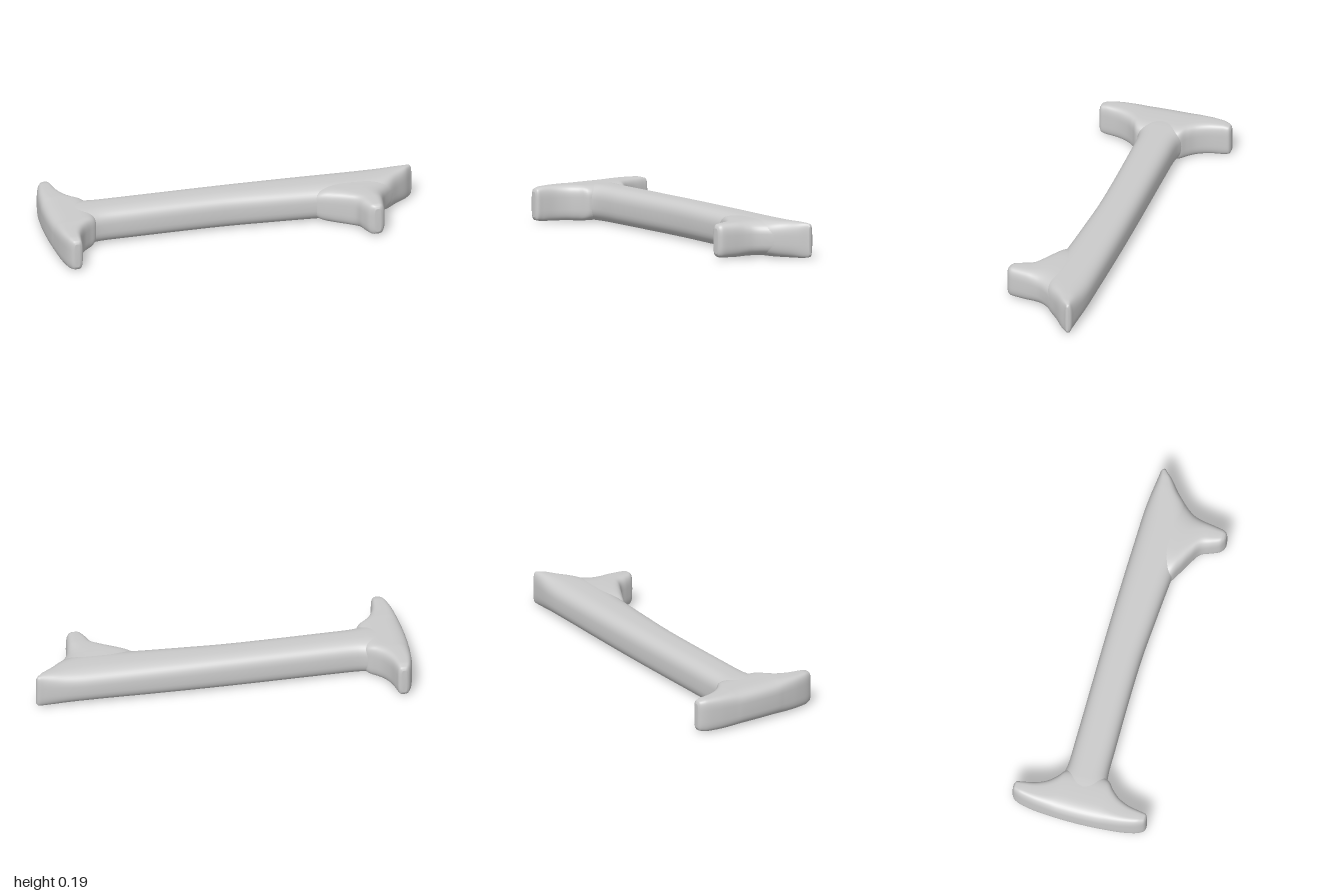
import * as THREE from 'three';

const SIDES = 48;   // points around a section
const STEPS = 5;    // rings between two given sections
const MID = 0.098;  // height of the centre plane
const H = 0.0965;   // half thickness

const power = (v, n) => Math.sign(v) * Math.pow(Math.abs(v), 2 / n);

// Lofts superellipse sections along z. Rows: [z, xMin, xMax, halfHeight]
function loft(rows, n) {
  const sizes = new THREE.CatmullRomCurve3(rows.map(([s, lo, hi]) => new THREE.Vector3(s, lo, hi)));
  const rings = (rows.length - 1) * STEPS;
  const pos = [], index = [];
  for (let i = 0; i <= rings; i++) {
    const p = sizes.getPoint(i / rings);
    const k = Math.min(Math.floor(i / STEPS), rows.length - 2);
    const h = THREE.MathUtils.lerp(rows[k][3], rows[k + 1][3], i / STEPS - k);
    for (let j = 0; j < SIDES; j++) {
      const a = (j / SIDES) * Math.PI * 2;
      pos.push((p.y + p.z) / 2 + ((p.z - p.y) / 2) * power(Math.cos(a), n),
        MID + h * power(Math.sin(a), n), p.x);
    }
  }
  for (let i = 0; i < rings; i++) {
    for (let j = 0; j < SIDES; j++) {
      const a = i * SIDES + j, b = i * SIDES + (j + 1) % SIDES;
      index.push(a, b, a + SIDES, b, b + SIDES, a + SIDES);
    }
  }
  // End caps
  const first = rows[0], last = rows[rows.length - 1], c = pos.length / 3;
  for (const r of [first, last]) pos.push((r[1] + r[2]) / 2, MID, r[0]);
  for (let j = 0; j < SIDES; j++) {
    const k = (j + 1) % SIDES, e = rings * SIDES;
    index.push(c, k, j, c + 1, e + j, e + k);
  }
  const geo = new THREE.BufferGeometry();
  geo.setAttribute('position', new THREE.Float32BufferAttribute(pos, 3));
  geo.setIndex(index);
  geo.computeVertexNormals();
  return geo;
}

export function createModel() {
  const group = new THREE.Group();
  const material = new THREE.MeshStandardMaterial({ color: 0xcccccc });
  const add = (name, geo) => {
    const mesh = new THREE.Mesh(geo, material);
    mesh.name = name;
    group.add(mesh);
  };

  // Shaft with its pointed end; rows: [x, zMin, zMax, halfHeight]
  const shaft = [
    [-0.94, -0.13, 0.12, 0.09], [-0.8, -0.135, 0.12, H], [-0.72, -0.12, 0.1, H],
    [-0.55, -0.117, 0.096, H], [-0.05, -0.116, 0.098, H], [0.2, -0.114, 0.114, H],
    [0.43, -0.11, 0.132, H], [0.6, -0.106, 0.15, H], [0.75, -0.102, 0.15, H],
    [0.83, -0.096, 0.115, H], [0.9, -0.087, 0.05, 0.096], [0.96, -0.078, 0, 0.094],
    [0.99, -0.072, -0.035, 0.088], [1, -0.06, -0.045, 0.075],
  ];
  add('shaft', loft(shaft.map(([x, lo, hi, h]) => [x, -hi, -lo, h]), 2.9).rotateY(Math.PI / 2));

  // Cross bar with flared root, mirrored front to back
  const half = [
    [0.362, -0.93, -0.9, 0.066], [0.352, -0.945, -0.885, 0.083], [0.32, -0.962, -0.878, 0.091],
    [0.25, -0.979, -0.862, 0.093], [0.19, -0.987, -0.832, 0.094], [0.15, -0.991, -0.795, 0.095],
    [0.11, -0.995, -0.75, 0.095],
  ];
  add('crossBar', loft([
    ...half.map(([z, ...r]) => [-z, ...r]), [0, -0.998, -0.74, 0.095], ...[...half].reverse(),
  ], 3.8));

  // Side prong with flared root
  add('prong', loft([
    [0, 0.5, 0.9, 0.09], [0.06, 0.43, 0.885, 0.094], [0.12, 0.43, 0.832, 0.095],
    [0.16, 0.49, 0.803, 0.095], [0.2, 0.565, 0.787, 0.094], [0.24, 0.625, 0.777, 0.093],
    [0.29, 0.647, 0.768, 0.091], [0.335, 0.668, 0.758, 0.088], [0.35, 0.685, 0.748, 0.08],
    [0.358, 0.7, 0.735, 0.066],
  ], 3.4));

  return group;
}
